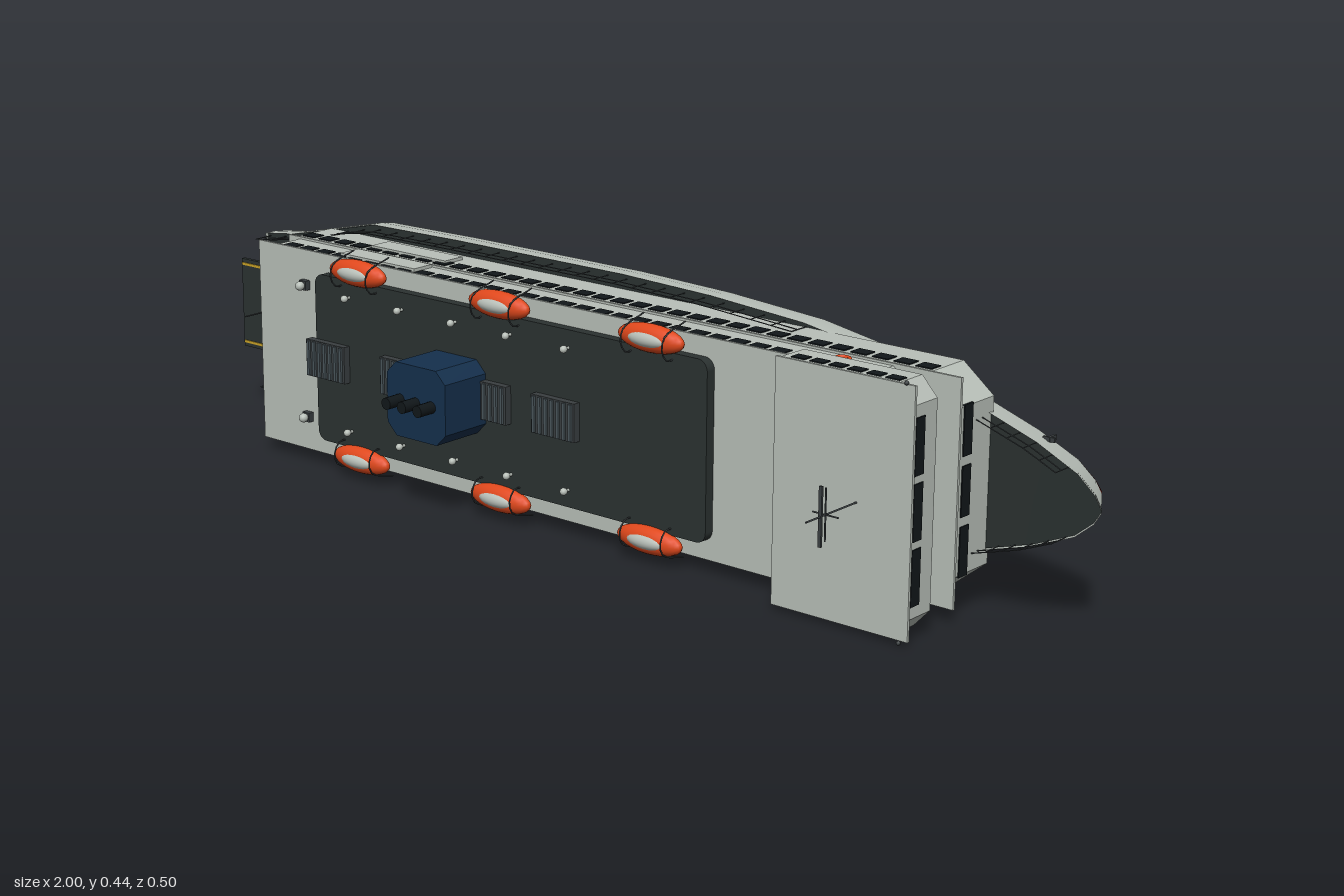
import * as THREE from 'three';
import { mergeGeometries, toCreasedNormals } from 'three/addons/utils/BufferGeometryUtils.js';

const mat = (color, side = THREE.FrontSide) => new THREE.MeshStandardMaterial({ color, side });
const M = {
  white: mat(0xb9c0b9), shell: mat(0xb9c0b9, THREE.DoubleSide), dark: mat(0x2b3231, THREE.DoubleSide),
  red: mat(0x5c1713), navy: mat(0x15304d), orange: mat(0xe0481c), glass: mat(0x11171a),
  vent: mat(0x4a565c), metal: mat(0x3a3f41), yellow: mat(0xc9a227),
};

// Deck stations: x, half beam, keel height, deck edge height
const STATIONS = [
  [-0.92, 0.155, -0.255, -0.118], [-0.84, 0.165, -0.255, -0.118], [-0.74, 0.188, -0.255, -0.118],
  [-0.62, 0.216, -0.255, -0.118], [-0.4, 0.219, -0.255, -0.118], [0, 0.219, -0.255, -0.118],
  [0.2, 0.213, -0.254, -0.118], [0.4, 0.199, -0.25, -0.118], [0.6, 0.166, -0.243, -0.117],
  [0.75, 0.125, -0.231, -0.113], [0.87, 0.087, -0.215, -0.107], [0.95, 0.052, -0.203, -0.102],
  [0.985, 0.023, -0.196, -0.1], [0.998, 0.002, -0.192, -0.099],
];
const WATER = -0.175;

const box = (w, h, d, x, y, z) => new THREE.BoxGeometry(w, h, d).translate(x, y, z);
const cyl = (r, h, x, y, z, n = 12) => new THREE.CylinderGeometry(r, r, h, n).translate(x, y, z);
function rod(a, b, r = 0.0015) {
  const p = new THREE.Vector3(...a), q = new THREE.Vector3(...b), d = q.clone().sub(p);
  const g = new THREE.CylinderGeometry(r, r, d.length(), 6);
  g.applyQuaternion(new THREE.Quaternion().setFromUnitVectors(new THREE.Vector3(0, 1, 0), d.normalize()));
  const c = p.add(q).multiplyScalar(0.5);
  return g.translate(c.x, c.y, c.z);
}

// Surface through a list of equal-length cross-sections
function loft(rings) {
  const n = rings[0].length, idx = [];
  for (let i = 0; i < rings.length - 1; i++) for (let j = 0; j < n - 1; j++) {
    const a = i * n + j, b = a + n;
    idx.push(a, a + 1, b, b, a + 1, b + 1);
  }
  const g = new THREE.BufferGeometry();
  g.setAttribute('position', new THREE.Float32BufferAttribute(rings.flat(2), 3));
  g.setIndex(idx);
  g.computeVertexNormals();
  return g;
}

// Upright prism from a plan outline of [x, z] points
function prism(pts, y0, y1) {
  const s = new THREE.Shape(pts.map(([x, z]) => new THREE.Vector2(x, -z)));
  return new THREE.ExtrudeGeometry(s, { depth: y1 - y0, bevelEnabled: false }).rotateX(-Math.PI / 2).translate(0, y0, 0);
}
// Plan with cut corners at the front, and optionally at the back
const cutPlan = (x0, x1, w, cx, cz, back = 0) => [
  [x0 + back, w], [x1 - cx, w], [x1, w - cz], [x1, cz - w], [x1 - cx, -w], [x0 + back, -w], [x0, back - w], [x0, w - back],
];

function beamAt(x) {
  const i = Math.max(1, STATIONS.findIndex((s) => s[0] >= x));
  const a = STATIONS[i - 1], b = STATIONS[i], t = (x - a[0]) / (b[0] - a[0]);
  return [a[1] + (b[1] - a[1]) * t, a[3] + (b[3] - a[3]) * t];
}

export function createModel() {
  const ship = new THREE.Group();
  const add = (name, geo, material) => {
    const m = new THREE.Mesh(Array.isArray(geo) ? mergeGeometries(geo) : geo, material);
    m.name = name;
    ship.add(m);
    return m;
  };
  const SIDES = [-1, 1];

  // Hull with raked stem
  const rake = (x, y, deck) => x - 0.6 * THREE.MathUtils.smoothstep(x, 0.4, 0.95) * (deck - y);
  const section = ([x, w, keel, deck], profile) => {
    const half = profile.map(([f, h]) => {
      const y = h > 0 ? WATER + (deck - WATER) * h : WATER + (WATER - keel) * h;
      return [rake(x, y, deck), y, w * f];
    });
    return half;
  };
  const LOWER = [[0.975, 0], [0.82, -0.57], [0.46, -0.93], [0, -1]];
  const UPPER = [[1, 1], [1, 0.55], [0.975, 0]];
  const mirror = (p) => p.map(([x, y, z]) => [x, y, -z]).reverse();
  const bottom = STATIONS.map((s) => {
    const h = section(s, LOWER);
    return [...h, ...mirror(h).slice(1)];
  });
  add('hullBottom', toCreasedNormals(loft(bottom), 0.3), M.red);
  const sides = STATIONS.map((s) => section(s, UPPER));
  add('hullSideRight', loft(sides), M.shell);
  add('hullSideLeft', loft(sides.map(mirror)), M.shell);
  const sternRing = [...sides[0].slice(0, 2), ...bottom[0], ...mirror(sides[0]).slice(1)];
  add('transom', loft([sternRing.map(() => [-0.92, -0.16, 0]), sternRing]), M.shell);
  add('mainDeck', loft(STATIONS.map(([x, w, , d]) => [[x - 0.004, d - 0.008, -w * 0.99], [x - 0.004, d - 0.008, w * 0.99]])), M.dark);

  // Stern ramp
  add('sternRamp', box(0.085, 0.008, 0.18, -0.958, -0.131, 0), M.dark);
  add('rampStripes', SIDES.map((s) => box(0.08, 0.002, 0.005, -0.958, -0.126, s * 0.08)), M.yellow);
  add('sternFlagpole', rod([-0.91, -0.126, 0], [-0.91, -0.05, 0]), M.metal);

  // Superstructure tiers and overhanging deck slabs
  add('lowerTier', prism(cutPlan(-0.74, 0.775, 0.19, 0.06, 0.048), -0.126, -0.028), M.white);
  add('upperTier', prism(cutPlan(-0.72, 0.7, 0.19, 0.05, 0.045), -0.024, 0.042), M.white);
  add('bridge', prism(cutPlan(0.52, 0.78, 0.208, 0.03, 0.032), 0.042, 0.107), M.white);
  add('deckSlabs', [
    box(1.53, 0.005, 0.388, 0.015, -0.0255, 0), box(1.52, 0.005, 0.388, 0, 0.0425, 0),
    box(0.27, 0.005, 0.42, 0.65, 0.108, 0),
  ], M.white);

  // Windows along the sides and across the fronts
  const panes = [];
  const row = (x0, x1, n, y, z, h) => {
    const step = (x1 - x0) / n;
    for (let i = 0; i < n; i++) for (const s of SIDES) panes.push(box(step * 0.72, h, 0.004, x0 + step * (i + 0.5), y, s * z));
  };
  row(-0.74, 0.715, 34, -0.057, 0.19, 0.026);
  row(-0.71, 0.65, 32, 0.023, 0.19, 0.024);
  row(0.53, 0.75, 6, 0.086, 0.208, 0.02);
  for (const [x, y, w, pitch] of [[0.775, -0.053, 0.086, 0.102], [0.7, 0.025, 0.086, 0.101], [0.78, 0.088, 0.095, 0.108]])
    for (const k of [-1, 0, 1]) panes.push(box(0.004, 0.024, w, x, y, k * pitch));
  add('windows', panes, M.glass);
  add('sidePanels', SIDES.flatMap((s) => [-0.078, 0.003].map((y) => box(0.19, 0.046, 0.008, -0.465, y, s * 0.192))), M.white);

  // Roof deck with rounded corners
  const roof = new THREE.Shape(), rx = 0.465, rz = 0.16, rr = 0.02;
  roof.absarc(rx - rr, rz - rr, rr, 0, Math.PI / 2).absarc(rr - rx, rz - rr, rr, Math.PI / 2, Math.PI);
  roof.absarc(rr - rx, rr - rz, rr, Math.PI, Math.PI * 1.5).absarc(rx - rr, rr - rz, rr, Math.PI * 1.5, Math.PI * 2);
  add('roofDeck', new THREE.ExtrudeGeometry(roof, { depth: 0.02, bevelEnabled: false }).rotateX(-Math.PI / 2).translate(-0.125, 0.044, 0), M.dark);

  // Ventilation grilles with slats
  const grilles = [], slats = [];
  for (const x of [-0.553, -0.36, -0.15, 0.01]) {
    grilles.push(box(0.1, 0.016, 0.07, x, 0.07, 0));
    for (let i = 0; i < 7; i++) slats.push(box(0.006, 0.005, 0.066, x - 0.042 + i * 0.014, 0.08, 0));
  }
  add('ventGrilles', grilles, M.metal);
  add('ventSlats', slats, M.vent);

  // Funnel and exhaust pipes
  add('funnel', prism(cutPlan(-0.302, -0.16, 0.068, 0.022, 0.022, 0.022), 0.06, 0.168), M.navy);
  add('exhaustPipes', [-0.27, -0.232, -0.194].map((x) => cyl(0.011, 0.04, x, 0.184, 0)), M.glass);

  // Mast with crossbars
  add('mast', [
    rod([0.68, 0.107, 0], [0.68, 0.243, 0], 0.0018), box(0.006, 0.004, 0.1, 0.68, 0.205, 0),
    rod([0.68, 0.192, -0.044], [0.68, 0.192, 0.044]), rod([0.655, 0.192, 0], [0.705, 0.192, 0]),
  ], M.metal);
  add('bridgeLights', SIDES.map((s) => new THREE.SphereGeometry(0.004, 8, 6).translate(0.77, 0.113, s * 0.213)), M.metal);

  // Lifeboats with covers and davits
  for (const s of SIDES) for (const x of [-0.475, -0.125, 0.22]) {
    const boat = new THREE.Group();
    boat.name = 'lifeboat';
    const hull = new THREE.Mesh(new THREE.SphereGeometry(1, 24, 12).scale(0.071, 0.02, 0.025), M.orange);
    hull.name = 'lifeboatHull';
    const cover = new THREE.Mesh(new THREE.SphereGeometry(1, 20, 10).scale(0.045, 0.016, 0.015).translate(0, 0.008, 0), M.white);
    cover.name = 'lifeboatCover';
    const arms = [-0.045, 0.045].map((dx) => new THREE.TubeGeometry(new THREE.CatmullRomCurve3([
      [0, -0.02, -0.025], [0, 0.012, -0.03], [0, 0.026, -0.01], [0, 0.02, 0.012], [0, -0.035, 0.03],
    ].map(([a, y, z]) => new THREE.Vector3(dx, y, z * s))), 12, 0.0015, 5));
    const davits = new THREE.Mesh(mergeGeometries(arms), M.metal);
    davits.name = 'davits';
    boat.add(hull, cover, davits);
    boat.position.set(x, 0.065, s * 0.178);
    ship.add(boat);
  }

  // Lifebuoys, deck lamps and aft lights
  add('lifebuoys', SIDES.map((s) => new THREE.TorusGeometry(0.012, 0.004, 8, 20).translate(0.57, 0.006, s * 0.193)), M.orange);
  const lamps = [];
  for (const s of SIDES) for (const x of [-0.5, -0.365, -0.232, -0.1, 0.035])
    lamps.push(cyl(0.003, 0.014, x, 0.069, s * 0.128, 8), new THREE.SphereGeometry(0.007, 10, 8).translate(x, 0.077, s * 0.128));
  add('deckLamps', lamps, M.white);
  add('aftLightBases', SIDES.map((s) => box(0.018, 0.012, 0.018, -0.633, 0.05, s * 0.128)), M.metal);
  add('aftLights', SIDES.map((s) => new THREE.SphereGeometry(0.009, 10, 8).translate(-0.633, 0.062, s * 0.128)), M.white);

  // Deck-edge railings
  const rails = [];
  for (const s of SIDES) for (const [x0, x1, n] of [[-0.91, 0.4, 30], [0.77, 0.93, 5]]) {
    const at = (i, up) => {
      const x = x0 + ((x1 - x0) * i) / n, [w, d] = beamAt(x);
      return [x, d + up, s * w * 0.96];
    };
    for (let i = 0; i <= n; i++) {
      rails.push(rod(at(i, -0.006), at(i, 0.034), 0.001));
      if (i < n) for (const up of [0.017, 0.034]) rails.push(rod(at(i, up), at(i + 1, up), 0.001));
    }
  }
  add('railings', rails, M.metal);

  // Anchors on the bow
  add('anchors', SIDES.flatMap((s) => [
    box(0.022, 0.004, 0.008, 0.865, -0.152, s * 0.081), box(0.005, 0.022, 0.008, 0.865, -0.16, s * 0.081),
  ]), M.metal);

  // The ship lies on its side: its masts point to +z and its beam runs along y
  ship.name = 'ship';
  ship.rotation.x = Math.PI / 2;
  ship.position.y = 0.22;
  const model = new THREE.Group();
  model.name = 'cruiseShip';
  model.add(ship);
  return model;
}
